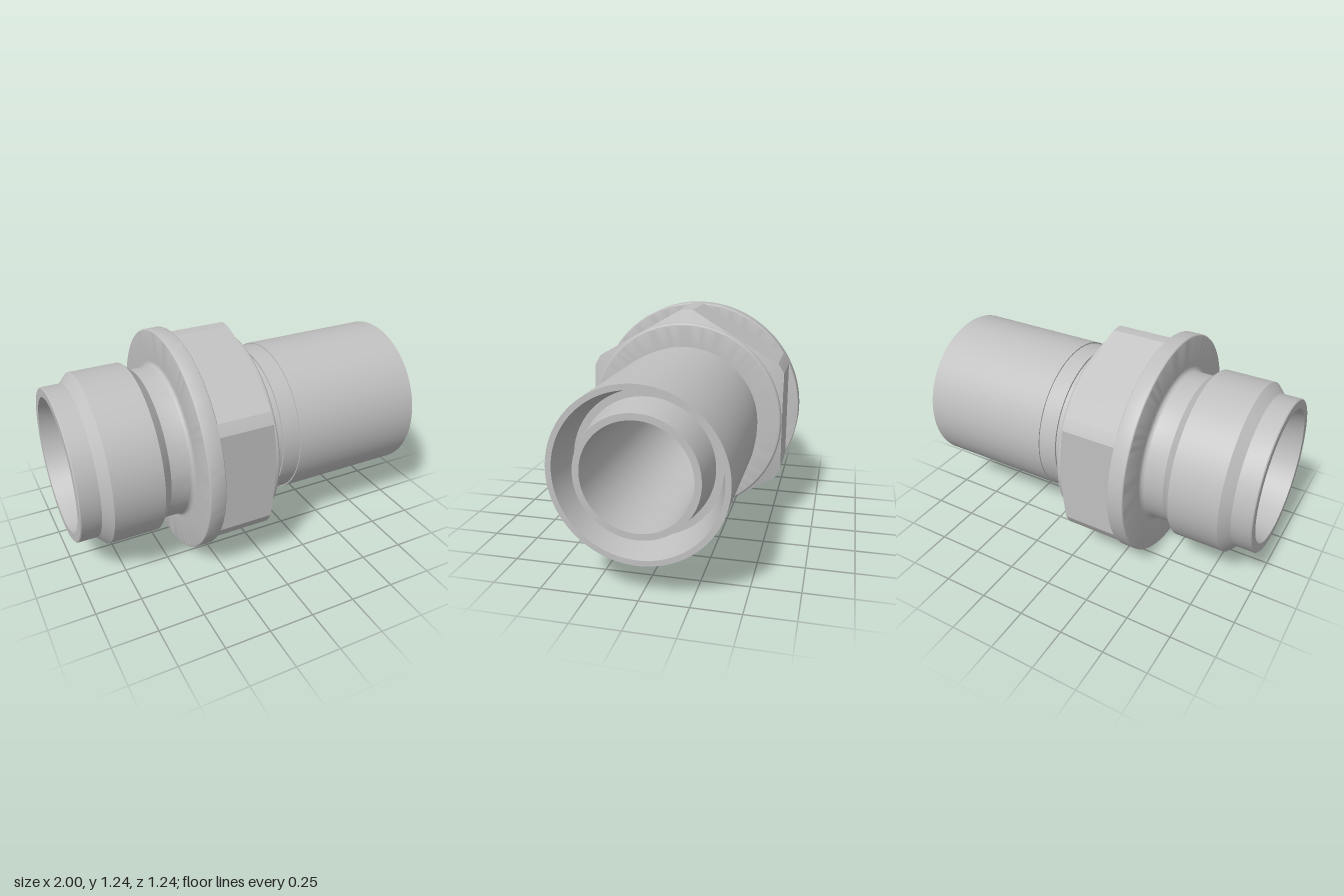
import * as THREE from 'three';
import { toCreasedNormals } from 'three/addons/utils/BufferGeometryUtils.js';

const steel = new THREE.MeshStandardMaterial({ color: 0xc0c0c0 });
steel.name = 'steel';

// Turned part: profile of [x, radius], outer skin runs towards +x, bore towards -x
function turned(name, profile) {
  const lathe = new THREE.LatheGeometry(profile.map(([x, r]) => new THREE.Vector2(r, x)), 128);
  lathe.rotateZ(-Math.PI / 2);
  const mesh = new THREE.Mesh(toCreasedNormals(lathe, 0.4), steel);
  mesh.name = name;
  return mesh;
}

// Rounded corner: points on an arc about (cx, cr) from angle a to b in degrees
function arc(cx, cr, radius, a, b) {
  const points = [];
  for (let i = 0; i <= 6; i++) {
    const t = THREE.MathUtils.degToRad(a + (b - a) * i / 6);
    points.push([cx + radius * Math.cos(t), cr + radius * Math.sin(t)]);
  }
  return points;
}

// Hexagon with corners trimmed to a circle and a chamfered right end
function hexagon() {
  const flat = 0.555, corner = 0.622, half = Math.acos(flat / corner);
  const angles = [];
  for (let k = 0; k < 6; k++) {
    const mid = Math.PI / 6 + k * Math.PI / 3;
    for (let i = 0; i < 16; i++) angles.push([mid - half + 2 * half * i / 16, mid]);
    for (let i = 0; i < 4; i++) {
      angles.push([mid + half + (Math.PI / 3 - 2 * half) * i / 4, i ? null : mid]);
    }
  }
  const position = [], index = [], n = angles.length;
  for (const [angle, mid] of angles) {
    const r = mid === null ? corner : flat / Math.cos(angle - mid);
    const chamferX = 0.012 - 0.022 * (r - flat) / (corner - flat);
    for (const [x, radius] of [[-0.31, r], [chamferX, r], [0.013, 0.552], [0.013, 0.42]]) {
      position.push(x, radius * Math.cos(angle), radius * Math.sin(angle));
    }
  }
  for (let i = 0; i < n; i++) {
    for (let k = 0; k < 3; k++) {
      const a = i * 4 + k, b = ((i + 1) % n) * 4 + k;
      index.push(a, b, a + 1, b, b + 1, a + 1);
    }
  }
  const geometry = new THREE.BufferGeometry();
  geometry.setAttribute('position', new THREE.Float32BufferAttribute(position, 3));
  geometry.setIndex(index);
  const mesh = new THREE.Mesh(toCreasedNormals(geometry, 0.1), steel);
  mesh.name = 'hexagon';
  return mesh;
}

export function createModel() {
  const group = new THREE.Group();
  group.name = 'pipeFitting';
  group.add(
    // Left spigot with its raised band and conical seat
    turned('leftSpigot', [
      [-0.82, 0.33], [-1, 0.368], [-1, 0.415], [-0.995, 0.42], [-0.89, 0.42],
      [-0.84, 0.47], [-0.57, 0.47], [-0.52, 0.42],
      ...arc(-0.42, 0.445, 0.025, -90, 0), [-0.395, 0.46],
    ]),
    // Round flange beside the hexagon
    turned('flange', [
      [-0.395, 0.44], ...arc(-0.385, 0.612, 0.01, 180, 90),
      ...arc(-0.313, 0.614, 0.008, 90, 0), [-0.305, 0.5],
    ]),
    hexagon(),
    // Collar on the right face of the hexagon
    turned('collar', [
      [0.0, 0.553], ...arc(0.027, 0.538, 0.015, 90, 0), [0.042, 0.4],
    ]),
    // Stepped neck
    turned('neck', [
      [0.03, 0.42], [0.132, 0.42], [0.132, 0.43], [0.235, 0.43], [0.235, 0.437],
    ]),
    // Right sleeve with a tapered groove around the inner tube
    turned('sleeve', [
      [0.235, 0.437], [1, 0.437], [1, 0.408], [0.81, 0.37], [0.81, 0.332],
    ]),
    turned('innerTube', [[0.81, 0.332], [1, 0.305], [1, 0.272]]),
    // Through bore with the stop shoulders at the left
    turned('bore', [
      [1, 0.272], [-0.76, 0.272], [-0.76, 0.302], [-0.82, 0.302], [-0.82, 0.33],
    ]),
  );
  group.position.y = 0.622;
  const model = new THREE.Group();
  model.name = 'model';
  model.add(group);
  return model;
}
